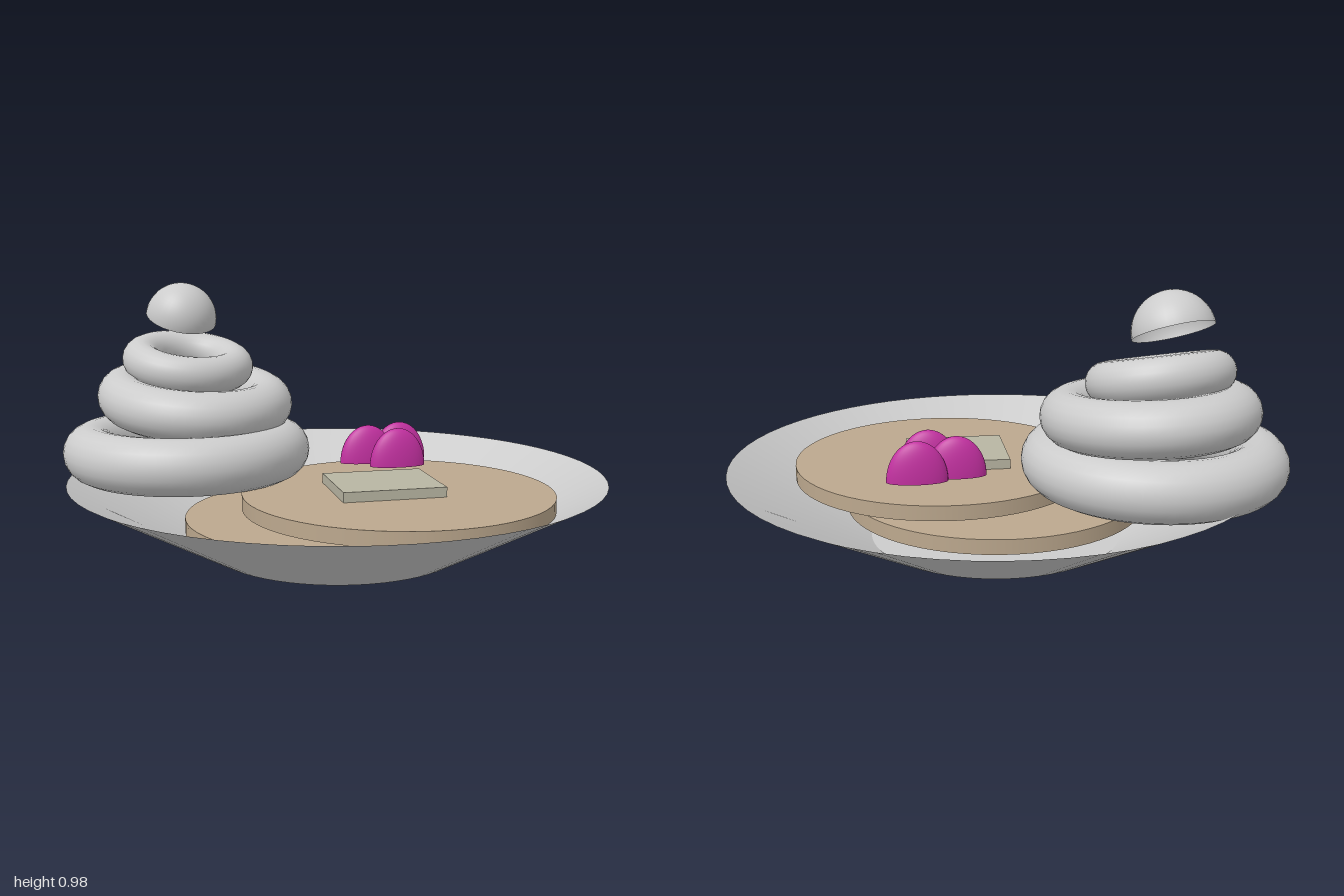
import * as THREE from 'three';

const material = (color, side = THREE.FrontSide) =>
  new THREE.MeshStandardMaterial({ color, side });

export function createModel() {
  const model = new THREE.Group();
  const grey = material(0xcccccc);
  const greyOpen = material(0xcccccc, THREE.DoubleSide);
  const tan = material(0xbca88e);
  const butterColor = material(0xb8b5a2);
  const purple = material(0xc230a0, THREE.DoubleSide);
  const up = new THREE.Vector3(0, 1, 0);

  const add = (name, geometry, mat, x, y, z) => {
    const mesh = new THREE.Mesh(geometry, mat);
    mesh.name = name;
    mesh.position.set(x, y, z);
    model.add(mesh);
    return mesh;
  };
  // Lean a part so that its up axis follows the given direction
  const lean = (mesh, nx, nz) =>
    mesh.quaternion.setFromUnitVectors(up, new THREE.Vector3(nx, 1, nz).normalize());

  // Flared plate: thin open wall and a flat base
  add('plateWall', new THREE.CylinderGeometry(0.992, 0.475, 0.285, 64, 1, true), greyOpen, 0.003, 0.1425, 0);
  add('plateBase', new THREE.CircleGeometry(0.475, 64).rotateX(Math.PI / 2), greyOpen, 0.003, 0, 0);

  // Two offset pancakes
  const pancake = new THREE.CylinderGeometry(0.57, 0.57, 0.055, 64);
  add('lowerPancake', pancake, tan, -0.005, 0.124, 0.075);
  add('upperPancake', pancake, tan, 0.19, 0.2185, 0.17);

  // Butter pat
  add('butter', new THREE.BoxGeometry(0.38, 0.045, 0.33), butterColor, 0.14, 0.26, 0.147);

  // Berries: narrow half domes
  const dome = new THREE.SphereGeometry(1, 32, 16, 0, Math.PI * 2, 0, Math.PI / 2);
  [[0.17, -0.187], [0.312, -0.235], [0.265, -0.092]].forEach(([x, z], i) => {
    add(`berry${i + 1}`, dome, purple, x, 0.283, z).scale.set(0.11, 0.147, 0.045);
  });

  // Whipped cream: shrinking rings that lean a little more each time
  const rings = [
    { p: [-0.528, 0.35, -0.284], R: 0.368, r: 0.105, sz: 1, n: [0, 0] },
    { p: [-0.487, 0.54, -0.35], R: 0.283, r: 0.095, sz: 1.14, n: [0.05, 0.095] },
    { p: [-0.508, 0.677, -0.402], R: 0.184, r: 0.073, sz: 0.94, n: [0.085, 0.22] },
  ];
  rings.forEach(({ p, R, r, sz, n }, i) => {
    const ring = add(`creamRing${i + 1}`,
      new THREE.TorusGeometry(R, r, 20, 56).rotateX(Math.PI / 2), grey, ...p);
    ring.scale.z = sz;
    lean(ring, ...n);
  });

  // Tilted half ball on top
  const tip = add('creamTip', dome, greyOpen, -0.525, 0.845, -0.478);
  tip.scale.setScalar(0.14);
  lean(tip, 0.16, 0.41);

  return model;
}
